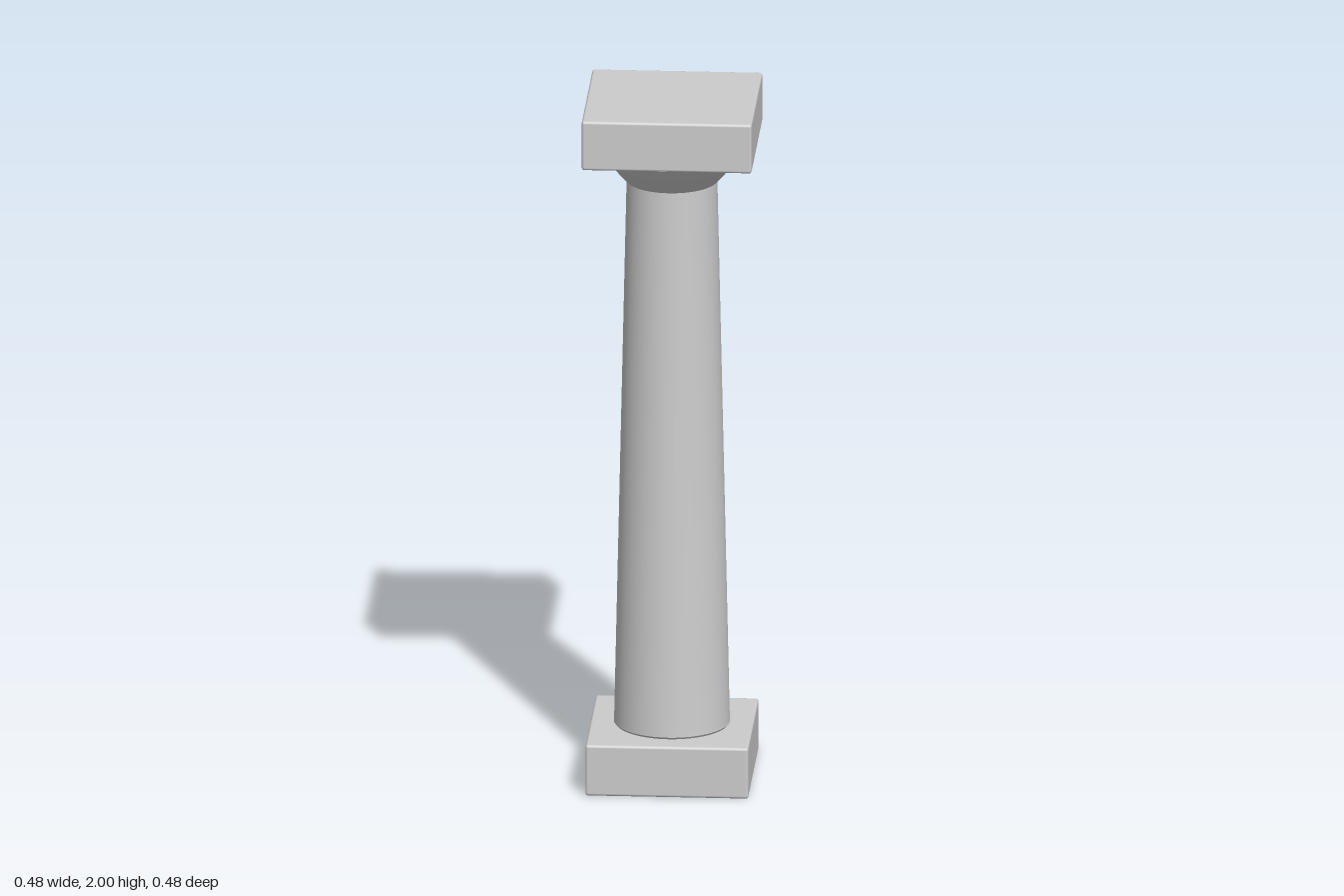
import * as THREE from 'three';
import { RoundedBoxGeometry } from 'three/addons/geometries/RoundedBoxGeometry.js';
import { toCreasedNormals } from 'three/addons/utils/BufferGeometryUtils.js';

export function createModel() {
  const model = new THREE.Group();
  model.name = 'column';
  const stone = new THREE.MeshStandardMaterial({ color: 0xcccccc });
  stone.name = 'pale stone';

  const add = (name, geometry, y = 0) => {
    const mesh = new THREE.Mesh(geometry, stone);
    mesh.name = name;
    mesh.position.y = y;
    model.add(mesh);
  };

  // Square slab with softly bevelled edges, resting on height y
  const slab = (name, width, height, y) =>
    add(name, new RoundedBoxGeometry(width, height, width, 2, 0.008), y + height / 2);

  // Round part turned from [radius, height] points, bottom to top
  const turned = (name, points) => {
    const profile = points.map(([r, y]) => new THREE.Vector2(r, y));
    add(name, toCreasedNormals(new THREE.LatheGeometry(profile, 48), 0.5));
  };

  slab('base', 0.46, 0.15, 0);
  turned('shaft', [[0, 0.148], [0.158, 0.148], [0.164, 0.156], [0.163, 0.17], [0.128, 1.757], [0, 1.757]]);
  turned('capital', [[0, 1.755], [0.126, 1.755], [0.134, 1.761], [0.206, 1.845], [0.208, 1.858], [0, 1.858]]);
  slab('abacus', 0.48, 0.145, 1.855);

  return model;
}
